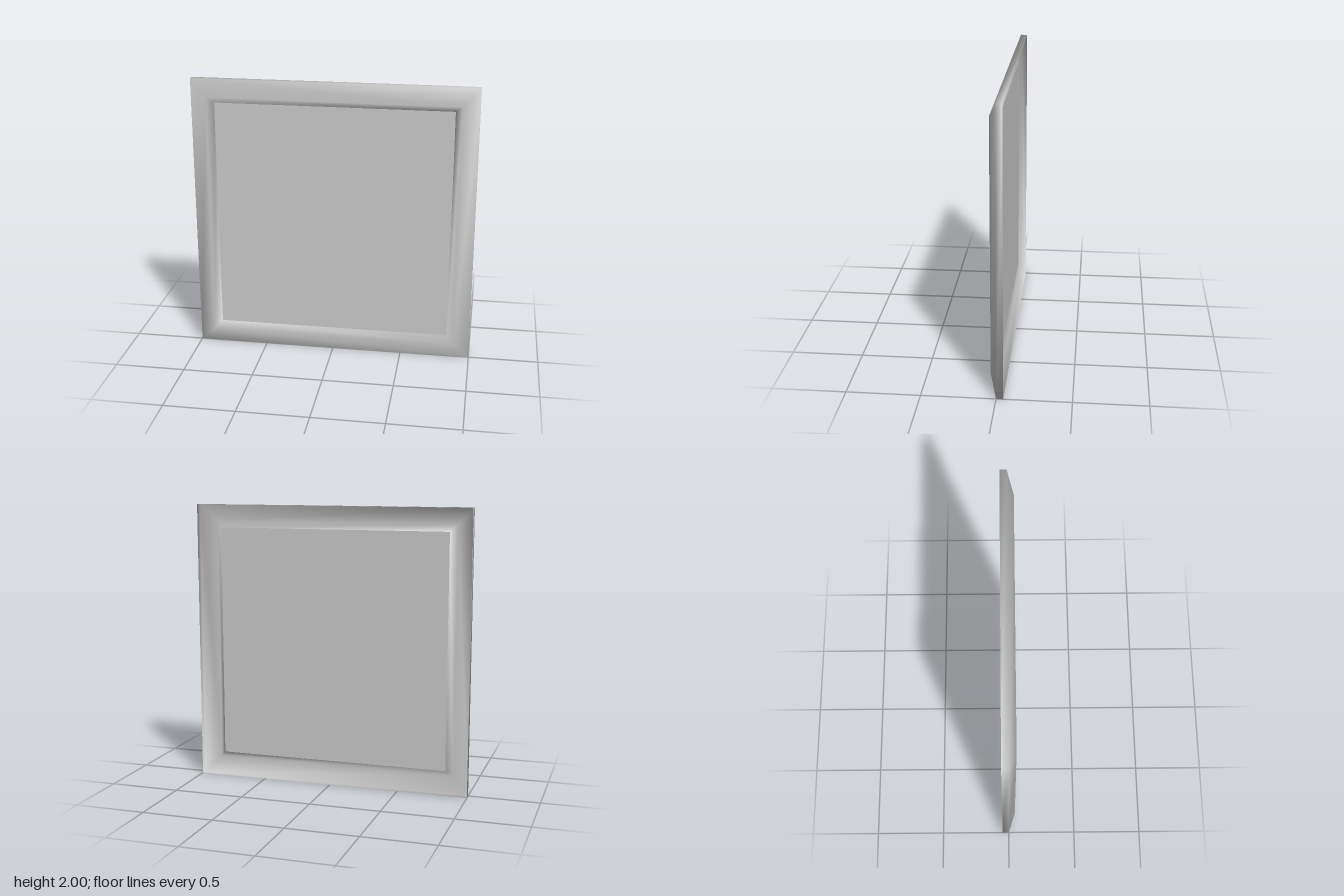
import * as THREE from 'three';

export function createModel() {
  const group = new THREE.Group();
  const material = new THREE.MeshStandardMaterial({ color: 0xcccccc, side: THREE.DoubleSide });

  // Square moulding: a four-sided lathe of the open frame profile (half width, depth)
  const profile = [[1, -0.047], [1, 0], [0.88, 0.047], [0.835, 0]]
    .map(([halfWidth, depth]) => new THREE.Vector2(halfWidth * Math.SQRT2, depth));
  const frameGeometry = new THREE.LatheGeometry(profile, 4, Math.PI / 4);
  frameGeometry.rotateX(Math.PI / 2);
  const frame = new THREE.Mesh(frameGeometry, material);
  frame.name = 'frame';
  frame.position.y = 1;
  group.add(frame);

  // Thin flat panel held by the inner lip, visible from both sides
  const panel = new THREE.Mesh(new THREE.PlaneGeometry(1.67, 1.67), material);
  panel.name = 'panel';
  panel.position.y = 1;
  group.add(panel);

  return group;
}
